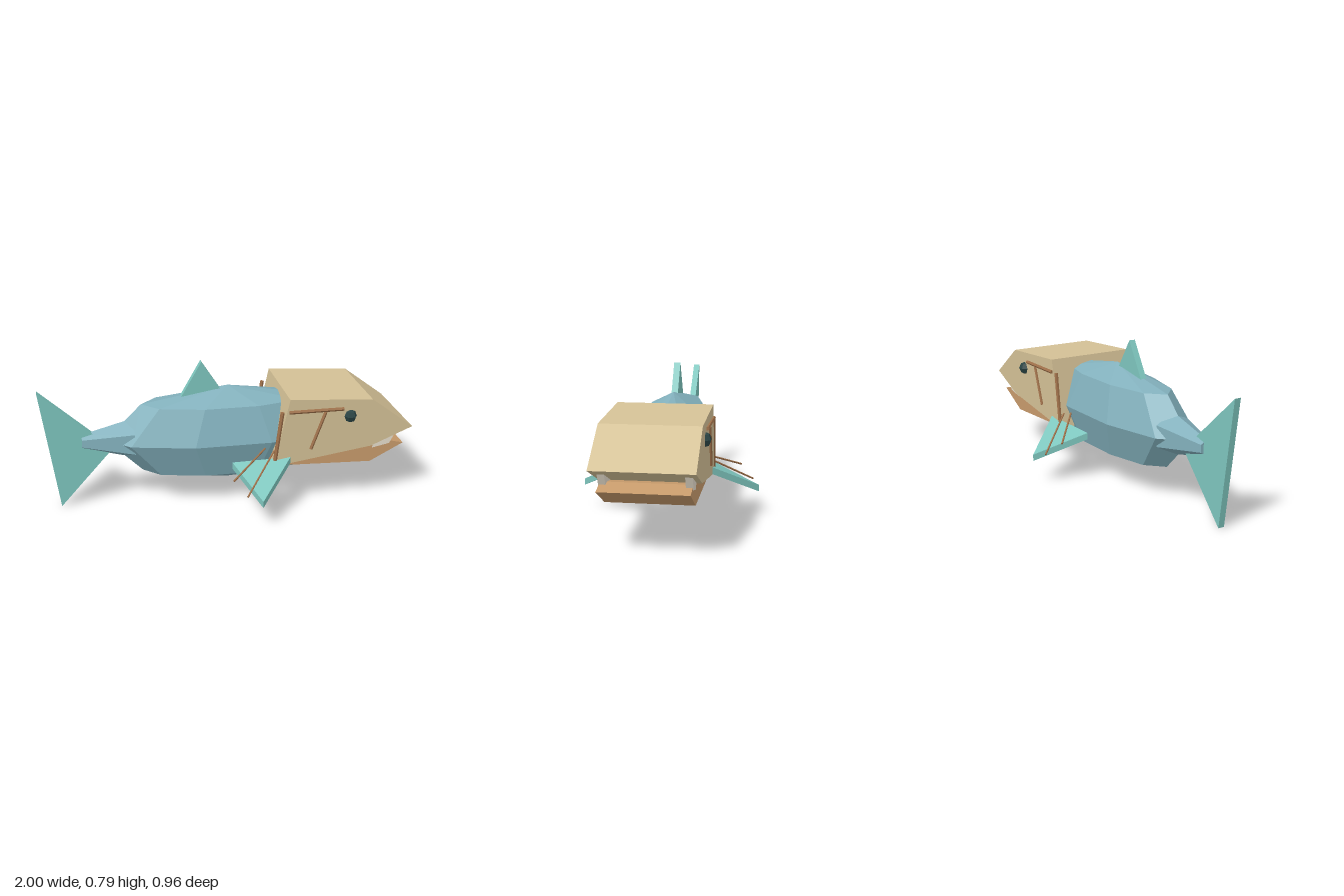
import * as THREE from 'three';
import { ConvexGeometry } from 'three/addons/geometries/ConvexGeometry.js';

const mat = (name, color) => Object.assign(new THREE.MeshStandardMaterial({ color }), { name });

export function createModel() {
  const model = new THREE.Group();
  model.name = 'armouredFish';
  const blue = mat('scaleBlue', 0x82b0bc);
  const teal = mat('finTeal', 0x7ec6be);
  const sand = mat('headSand', 0xd4c196);
  const tan = mat('jawTan', 0xc89b6c);
  const brown = mat('rodBrown', 0xa0714a);
  const ivory = mat('toothIvory', 0xe6ddcc);
  const dark = mat('eyeDark', 0x2a4444);

  const add = (name, geometry, material) => {
    const mesh = new THREE.Mesh(geometry, material);
    mesh.name = name;
    model.add(mesh);
    return mesh;
  };

  // Faceted copy of an indexed geometry
  const faceted = (geometry) => {
    const g = geometry.toNonIndexed();
    g.computeVertexNormals();
    return g;
  };

  // Side outline in x, y extruded to a width centred on z
  const slab = (points, width, z = 0) => {
    const shape = new THREE.Shape(points.map(([x, y]) => new THREE.Vector2(x, y)));
    return new THREE.ExtrudeGeometry(shape, { depth: width, bevelEnabled: false })
      .translate(0, 0, z - width / 2);
  };

  // Thin round rod between two points
  const rod = (name, a, b, radius) => {
    const from = new THREE.Vector3(...a), to = new THREE.Vector3(...b);
    const dir = to.clone().sub(from);
    const mesh = add(name, faceted(new THREE.CylinderGeometry(radius, radius, dir.length(), 6)), brown);
    mesh.position.copy(from).add(to).multiplyScalar(0.5);
    mesh.quaternion.setFromUnitVectors(new THREE.Vector3(0, 1, 0), dir.normalize());
  };

  // Body and tail stalk
  add('body', faceted(new THREE.SphereGeometry(1, 10, 4)
    .scale(0.672, 0.275, 0.21).translate(0.02, 0.37, 0)), blue);
  add('tailStalk', faceted(new THREE.CylinderGeometry(0.115, 0.04, 0.28, 6)
    .rotateY(Math.PI / 2).rotateZ(-Math.PI / 2).translate(-0.64, 0.372, 0)), blue);

  // Tail and back fins
  add('tailFin', slab([[-1, 0.672], [-0.91, 0], [-0.618, 0.323]], 0.035), teal);
  add('dorsalFin', slab([[-0.25, 0.575], [0, 0.595], [-0.125, 0.79]], 0.035), teal);

  // Head block and lower jaw
  add('head', slab([[0.31, 0.63], [0.765, 0.602], [1, 0.427], [0.77, 0.33], [0.225, 0.25]], 0.5), sand);
  add('lowerJaw', slab([[0.3, 0.24], [0.78, 0.223], [0.965, 0.32], [0.86, 0.345], [0.33, 0.27]], 0.44), tan);

  // Paired parts
  for (const [side, s] of [['left', -1], ['right', 1]]) {
    add(side + 'Tooth', slab([[0.92, 0.395], [0.79, 0.34], [0.79, 0.305], [0.885, 0.325]], 0.035, s * 0.206), ivory);

    add(side + 'Eye', faceted(new THREE.SphereGeometry(0.038, 6, 4)
      .translate(0.645, 0.515, s * 0.244)), dark);

    // Pectoral fin: a tilted triangular plate
    const corners = [[0.12, 0.13, 0.48], [0.32, 0.265, 0.25], [0.01, 0.235, 0.2]];
    const points = corners.flatMap(([x, y, z]) =>
      [0, 0.036].map((h) => new THREE.Vector3(x, y + h, s * z)));
    add(side + 'PectoralFin', new ConvexGeometry(points), teal);

    // Cheek rods, gill rod and trailing spines
    rod(side + 'CheekRod', [0.305, 0.56, s * 0.253], [0.605, 0.56, s * 0.253], 0.01);
    rod(side + 'CheekStrut', [0.505, 0.55, s * 0.253], [0.43, 0.34, s * 0.253], 0.009);
    rod(side + 'GillRod', [0.27, 0.56, s * 0.245], [0.235, 0.285, s * 0.245], 0.011);
    rod(side + 'UpperSpine', [0.19, 0.34, s * 0.2], [-0.015, 0.247, s * 0.375], 0.005);
    rod(side + 'LowerSpine', [0.235, 0.33, s * 0.22], [0.045, 0.182, s * 0.443], 0.005);
  }
  return model;
}
